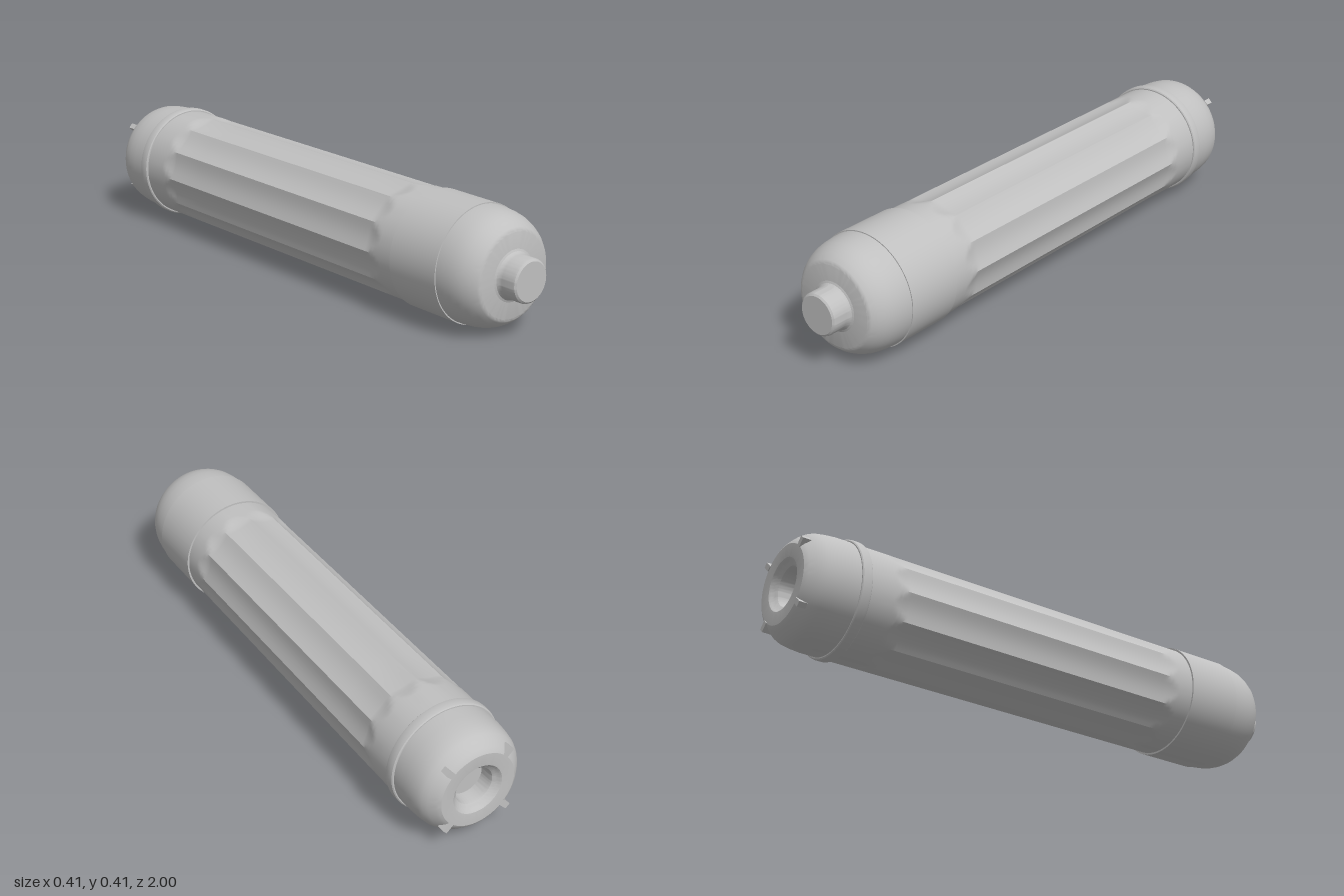
import * as THREE from 'three';
import { toCreasedNormals } from 'three/addons/utils/BufferGeometryUtils.js';

const SIDES = 96, FLUTES = 12, AXIS_Y = 0.205, R = 0.196;

export function createModel() {
  const model = new THREE.Group();
  model.name = 'canister';
  const grey = new THREE.MeshStandardMaterial({ color: 0xc0c0c0 });
  grey.name = 'light grey';

  // Turned part: profile of [radius, z] points running from back to front
  function turned(name, profile, reshape) {
    const geo = new THREE.LatheGeometry(profile.map(([r, z]) => new THREE.Vector2(r, z)), SIDES);
    if (reshape) reshape(geo.attributes.position);
    geo.rotateX(Math.PI / 2);
    geo.deleteAttribute('normal');
    geo.deleteAttribute('uv');
    const mesh = new THREE.Mesh(toCreasedNormals(geo, 0.5), grey);
    mesh.name = name;
    mesh.position.y = AXIS_Y;
    model.add(mesh);
  }

  // Rear cap with a rounded shoulder and a socket
  turned('rearCap', [
    [0, -0.925], [0.064, -0.925], [0.066, -0.965], [0.069, -0.975], [0.076, -0.981],
    [0.082, -0.985], [0.086, -0.991], [0.092, -0.996], [0.1, -0.997], [0.138, -0.997],
    [0.145, -0.993], [0.153, -0.986], [0.17, -0.968], [0.181, -0.952], [0.188, -0.935],
    [0.193, -0.905], [R, -0.87], [R, -0.79],
  ]);

  // Barrel with scooped flutes that fade out at both ends
  const rows = [[R, -0.8]];
  for (let i = 0; i <= 10; i++) rows.push([R, -0.7 + i * 0.008]);
  for (let i = 1; i < 8; i++) rows.push([R, -0.62 + i * 0.1325]);
  for (let i = 0; i <= 10; i++) rows.push([R, 0.44 + i * 0.008]);
  rows.push([R, 0.58]);
  turned('flutedBarrel', rows, (pos) => {
    const step = (Math.PI * 2) / FLUTES;
    for (let i = 0; i < pos.count; i++) {
      const x = pos.getX(i), z = pos.getY(i), y = pos.getZ(i);
      const turn = (Math.atan2(x, y) + Math.PI * 2) / step;
      const u = 2 * (turn - Math.round(turn - 0.5) - 0.5);
      const past = Math.max(0, z - 0.44, -0.62 - z) / 0.08;
      const reach = 1 - THREE.MathUtils.smoothstep(past, 0, 1);
      const k = 1 - (0.012 * Math.max(0, reach - u * u)) / R;
      pos.setXYZ(i, x * k, z, y * k);
    }
  });

  // Rounded ring near the rear
  turned('rearRing', [
    [0.19, -0.818], [0.2, -0.818], [0.2035, -0.815], [0.205, -0.808],
    [0.205, -0.79], [0.2035, -0.783], [0.2, -0.78], [0.19, -0.78],
  ]);

  // Wide plain sleeve near the front
  turned('frontSleeve', [[0.19, 0.57], [0.2025, 0.57], [0.2025, 0.778], [0.19, 0.778]]);

  // Front cap with a rounded shoulder
  turned('frontCap', [
    [R, 0.57], [0.199, 0.77], [0.198, 0.8], [0.195, 0.83], [0.19, 0.856], [0.182, 0.878],
    [0.17, 0.9], [0.156, 0.917], [0.15, 0.922], [0.143, 0.924], [0, 0.924],
  ]);

  // Front button with a filleted foot
  turned('frontButton', [
    [0.087, 0.924], [0.08, 0.927], [0.0755, 0.934], [0.074, 0.944],
    [0.074, 0.988], [0.072, 0.995], [0.066, 1], [0, 1],
  ]);

  // Four small lugs on the rear shoulder
  for (let i = 0; i < 4; i++) {
    const holder = new THREE.Group();
    holder.name = 'rearLug' + (i + 1);
    holder.position.y = AXIS_Y;
    holder.rotation.z = Math.PI / 4 + (i * Math.PI) / 2;
    const lug = new THREE.Mesh(new THREE.BoxGeometry(0.034, 0.02, 0.03), grey);
    lug.name = 'lug';
    lug.position.set(0.153, 0, -0.985);
    holder.add(lug);
    model.add(holder);
  }
  return model;
}
